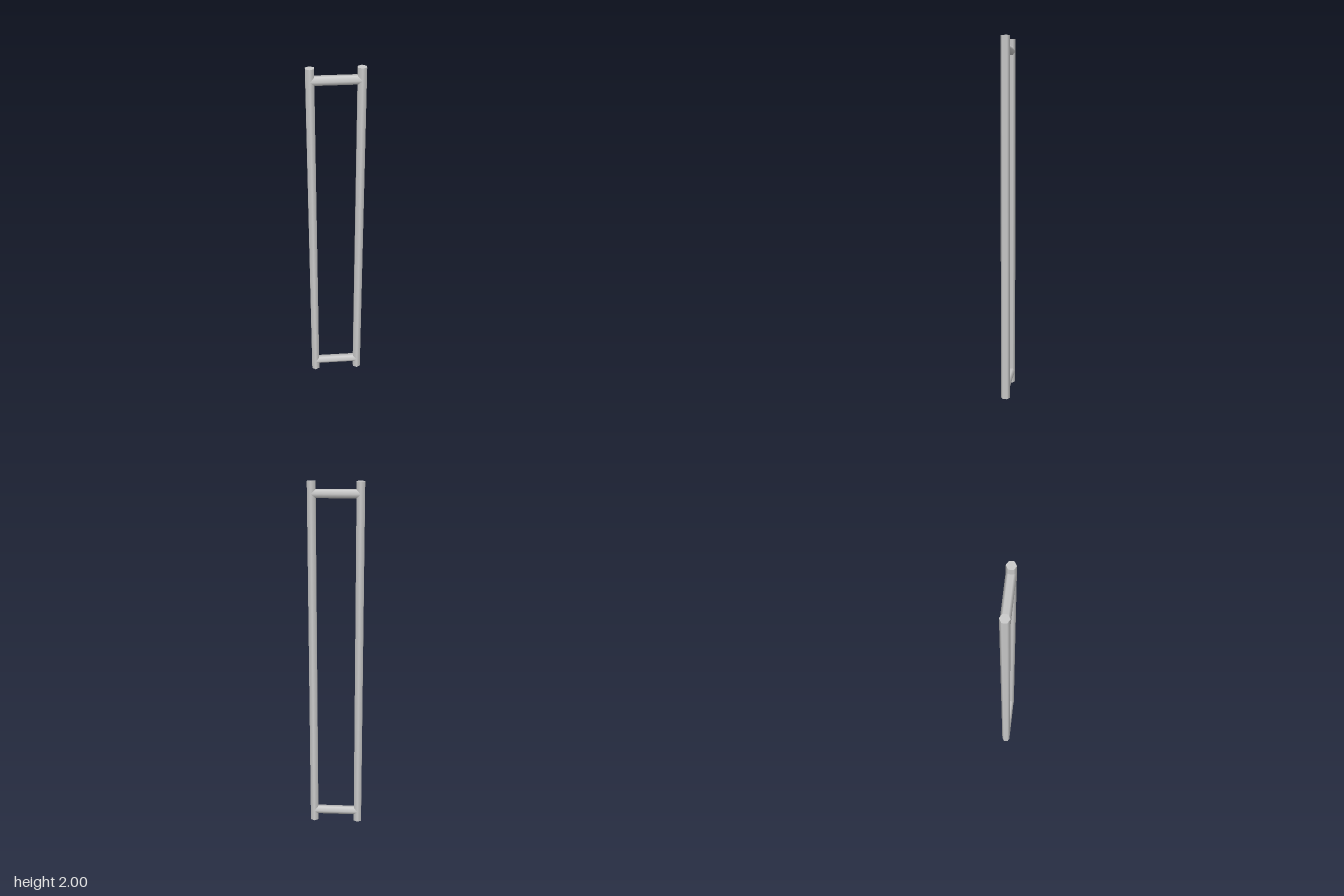
import * as THREE from 'three';

const RADIUS = 0.0255;  // bar radius, corners facing front and back
const POST_X = 0.1295;  // post centre line
const RUNG_Y = 0.065;   // rung distance from each end
const HEIGHT = 2;

export function createModel() {
  const group = new THREE.Group();
  group.name = 'ladderFrame';
  const material = new THREE.MeshStandardMaterial({ color: 0xcccccc });

  // Six-sided bar with smooth sides and flat ends
  const bar = (name, length) => {
    const mesh = new THREE.Mesh(new THREE.CylinderGeometry(RADIUS, RADIUS, length, 6), material);
    mesh.name = name;
    group.add(mesh);
    return mesh;
  };

  // Upright posts
  for (const [name, side] of [['leftPost', 1], ['rightPost', -1]]) {
    bar(name, HEIGHT).position.set(side * POST_X, HEIGHT / 2, 0);
  }

  // Cross rungs, running between the post centre lines
  for (const [name, y] of [['lowerRung', RUNG_Y], ['upperRung', HEIGHT - RUNG_Y]]) {
    const rung = bar(name, POST_X * 2);
    rung.rotation.z = Math.PI / 2;
    rung.position.y = y;
  }

  return group;
}
